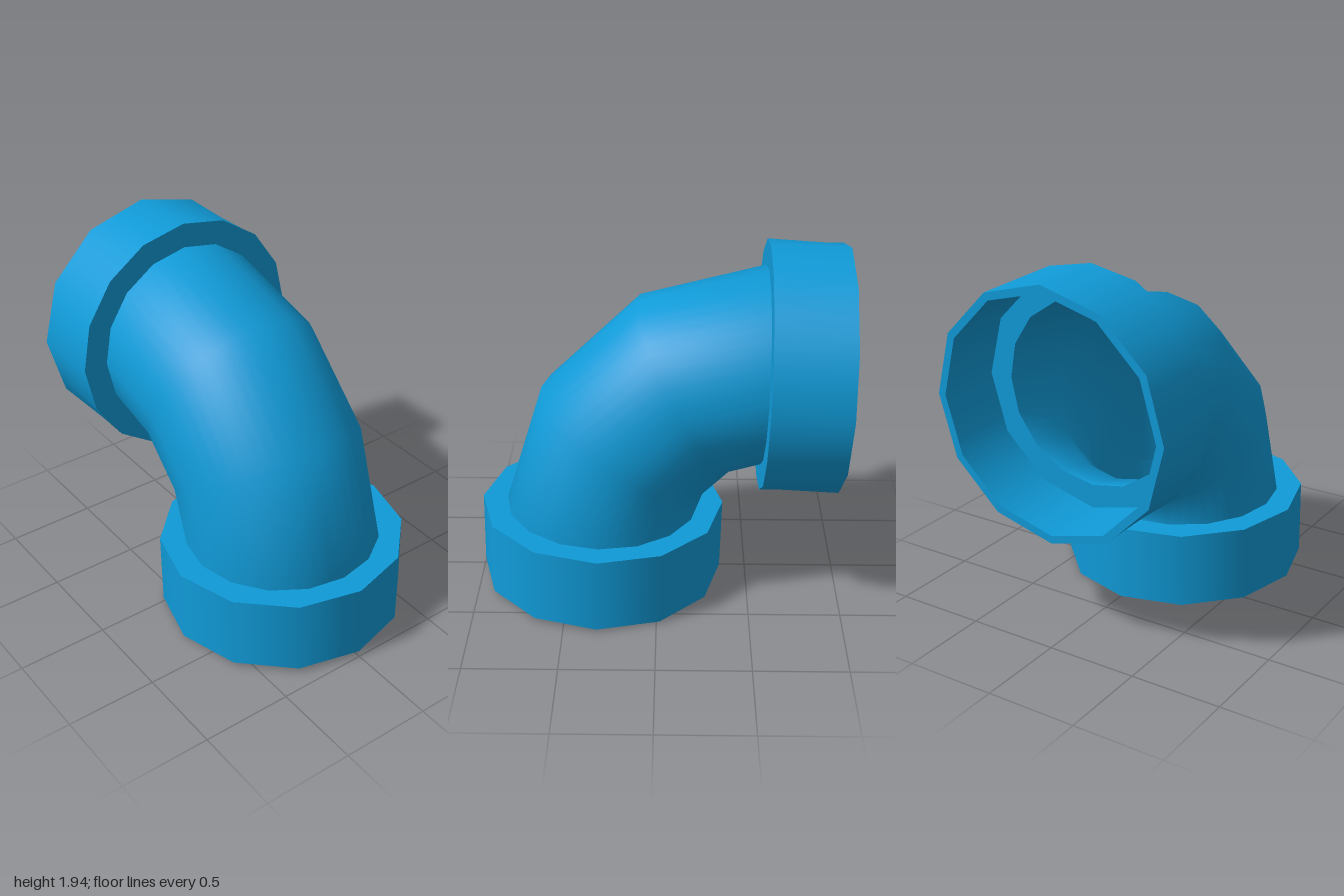
import * as THREE from 'three';

const STEPS = 48; // common multiple of the 12- and 16-sided sections
const material = new THREE.MeshStandardMaterial({ color: 0x109ad7 });
const Z = new THREE.Vector3(0, 0, 1);

// A station on the pipe's path: centre in the xy plane and tilt of its section
function station(x, y, degrees) {
  const a = THREE.MathUtils.degToRad(degrees);
  return {
    centre: new THREE.Vector3(x, y, 0),
    out: new THREE.Vector3(Math.cos(a), Math.sin(a), 0),
    along: new THREE.Vector3(-Math.sin(a), Math.cos(a), 0),
  };
}

// The same section moved along its own axis
const shift = (s, d) => ({ ...s, centre: s.centre.clone().addScaledVector(s.along, d) });

// A polygonal ring at a station
const ring = (s, radius, sides) => ({ ...s, radius, sides });

function ringPoint(r, phi) {
  const half = Math.PI / r.sides;
  const local = phi % (2 * half);
  const rad = r.radius * Math.cos(half) / Math.cos(local - half);
  return r.centre.clone()
    .addScaledVector(r.out, rad * Math.cos(phi))
    .addScaledVector(Z, rad * Math.sin(phi));
}

// Skin a chain of rings; each span is a 'wall' (radial normals) or a flat 'face'
function skin(name, rings) {
  const pos = [], nor = [], idx = [];
  for (let k = 0; k + 1 < rings.length; k++) {
    const a = rings[k], b = rings[k + 1];
    const travel = b.centre.clone().sub(a.centre).dot(a.along);
    const isFace = Math.abs(travel) < 1e-4;
    const sign = isFace ? Math.sign(a.radius - b.radius) : Math.sign(travel);
    const base = pos.length / 3;
    for (let i = 0; i <= STEPS; i++) {
      const phi = (i / STEPS) * Math.PI * 2;
      for (const r of [a, b]) {
        const n = isFace ? r.along.clone()
          : r.out.clone().multiplyScalar(Math.cos(phi)).addScaledVector(Z, Math.sin(phi));
        pos.push(...ringPoint(r, phi).toArray());
        nor.push(...n.multiplyScalar(sign).toArray());
      }
      if (i < STEPS) {
        const j = base + i * 2;
        idx.push(j, j + 1, j + 2, j + 1, j + 3, j + 2);
      }
    }
  }
  const geo = new THREE.BufferGeometry();
  geo.setAttribute('position', new THREE.Float32BufferAttribute(pos, 3));
  geo.setAttribute('normal', new THREE.Float32BufferAttribute(nor, 3));
  geo.setIndex(idx);
  const mesh = new THREE.Mesh(geo, material);
  mesh.name = name;
  return mesh;
}

export function createModel() {
  const group = new THREE.Group();
  group.name = 'pipeElbow';

  const collarR = 0.675, socketR = 0.632, pipeR = 0.537, boreR = 0.5;
  const length = 0.418, wall = 0.05;

  const lowerEnd = station(0.32, 0.017, 1.4);
  const lowerTop = shift(lowerEnd, length);
  const sideInner = station(-0.567, 1.27, 91.4);
  const sideEnd = shift(sideInner, length);
  const middle = [station(0.175, 0.85, 32), station(-0.145, 1.16, 61)];
  const lowerLedge = shift(lowerTop, -wall);
  const sideLedge = shift(sideInner, wall);

  // Lower socket: bore ledge, socket wall, rim, outside and shoulder
  group.add(skin('lowerCollar', [
    ring(lowerLedge, boreR, 16),
    ring(lowerLedge, socketR, 12),
    ring(lowerEnd, socketR, 12),
    ring(lowerEnd, collarR, 12),
    ring(lowerTop, collarR, 12),
    ring(lowerTop, pipeR, 16),
  ]));

  // Bent pipe, outside and inside
  group.add(skin('bendOutside',
    [lowerTop, ...middle, sideInner].map((s) => ring(s, pipeR, 16))));
  group.add(skin('bendInside',
    [lowerLedge, ...middle, sideLedge].reverse().map((s) => ring(s, boreR, 16))));

  // Side socket: shoulder, outside, rim, socket wall and bore ledge
  group.add(skin('sideCollar', [
    ring(sideInner, pipeR, 16),
    ring(sideInner, collarR, 16),
    ring(sideEnd, collarR, 12),
    ring(sideEnd, socketR, 12),
    ring(sideLedge, socketR, 12),
    ring(sideLedge, boreR, 16),
  ]));

  return group;
}
